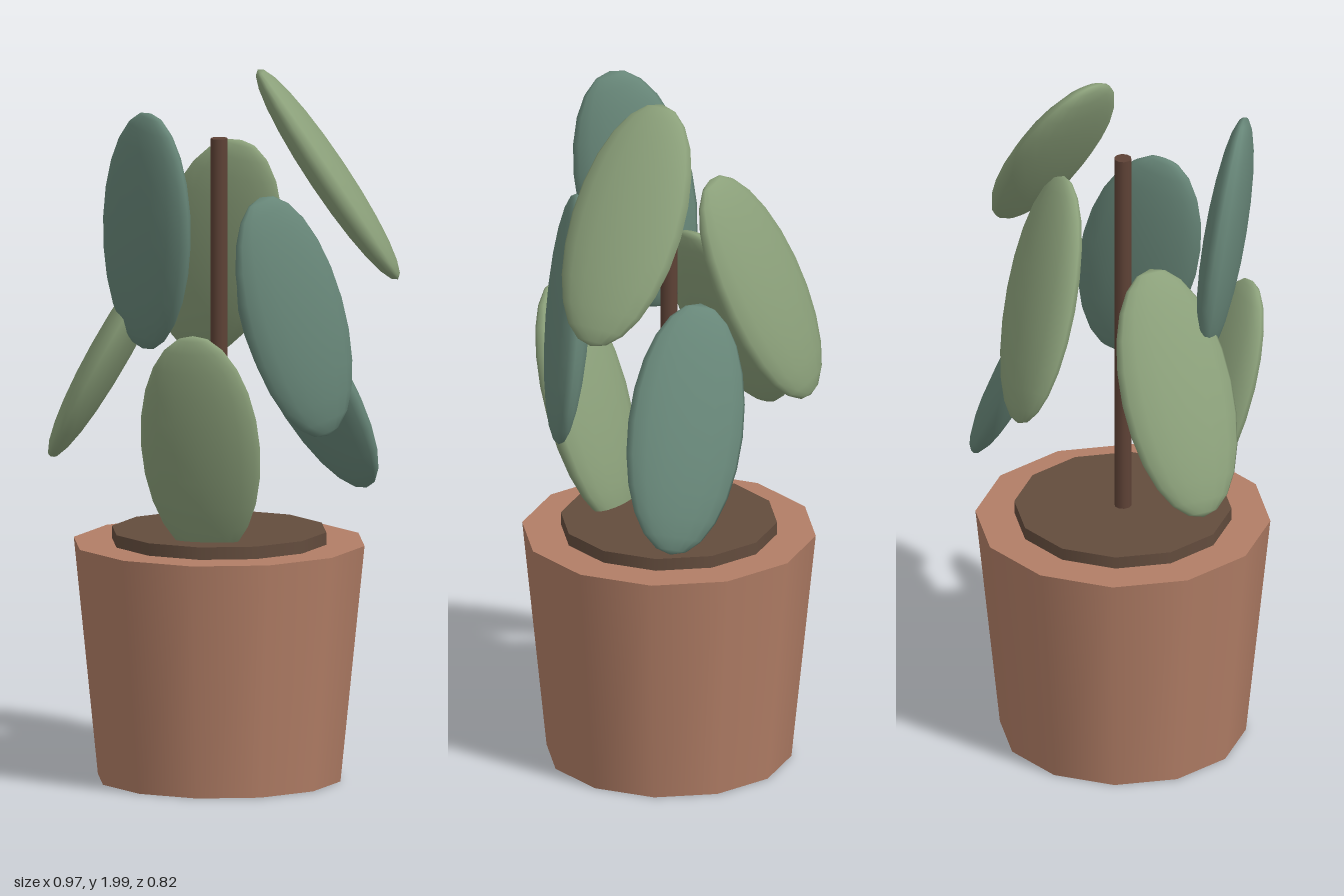
import * as THREE from 'three';

const mat = (color) => new THREE.MeshStandardMaterial({ color });
const V = (a) => new THREE.Vector3(...a);

export function createModel() {
  const group = new THREE.Group();
  const clay = mat(0xb27e66), earth = mat(0x634c3d), bark = mat(0x5e4236);
  const light = mat(0x8ba07a), dark = mat(0x678678);
  const axisX = -0.01;

  const addCylinder = (name, rTop, rBottom, y0, y1, sides, material) => {
    const mesh = new THREE.Mesh(new THREE.CylinderGeometry(rTop, rBottom, y1 - y0, sides), material);
    mesh.name = name;
    mesh.position.set(axisX, (y0 + y1) / 2, 0);
    group.add(mesh);
  };

  // Pot, soil disc and bare upright stem
  addCylinder('pot', 0.41, 0.342, 0, 0.665, 12, clay);
  addCylinder('soil', 0.302, 0.302, 0.6, 0.7, 12, earth);
  addCylinder('stem', 0.024, 0.024, 0.65, 1.8, 10, bark);

  // Leaves: flattened ellipsoids given by centre, long axis and facing direction
  const leafGeometry = new THREE.SphereGeometry(1, 16, 12);
  const halfSize = new THREE.Vector3(0.168, 0.352, 0.055);
  const leaves = [
    ['frontLeaf', [-0.01, 0.98, 0.285], [0, 0.945, 0.33], [0, -0.33, 0.945], light],
    ['rightLeaf', [-0.31, 1.2, 0.02], [0.48, 0.87, 0], [-0.87, 0.48, 0], light],
    ['topLeftLeaf', [0.283, 1.695, -0.073], [-0.55, 0.83, 0.06], [0.8, 0.56, -0.18], light],
    ['backLeaf', [-0.062, 1.445, -0.278], [0.24, 0.92, 0.32], [0, 0.3, -0.95], light],
    ['topRightLeaf', [-0.17, 1.575, 0.237], [0.07, 0.97, 0.2], [-0.58, 0, 0.81], dark],
    ['frontLeftLeaf', [0.232, 1.335, 0.17], [-0.25, 0.95, 0.1], [0.73, 0, 0.68], dark],
    ['backLeftLeaf', [0.2, 1.09, -0.215], [-0.44, 0.88, 0.18], [0.5, 0.4, -0.75], dark],
  ];
  for (const [name, centre, along, facing, material] of leaves) {
    const y = V(along).normalize();
    const x = y.clone().cross(V(facing)).normalize();
    const z = x.clone().cross(y);
    const leaf = new THREE.Mesh(leafGeometry, material);
    leaf.name = name;
    leaf.quaternion.setFromRotationMatrix(new THREE.Matrix4().makeBasis(x, y, z));
    leaf.scale.copy(halfSize);
    leaf.position.copy(V(centre));
    group.add(leaf);
  }
  return group;
}
